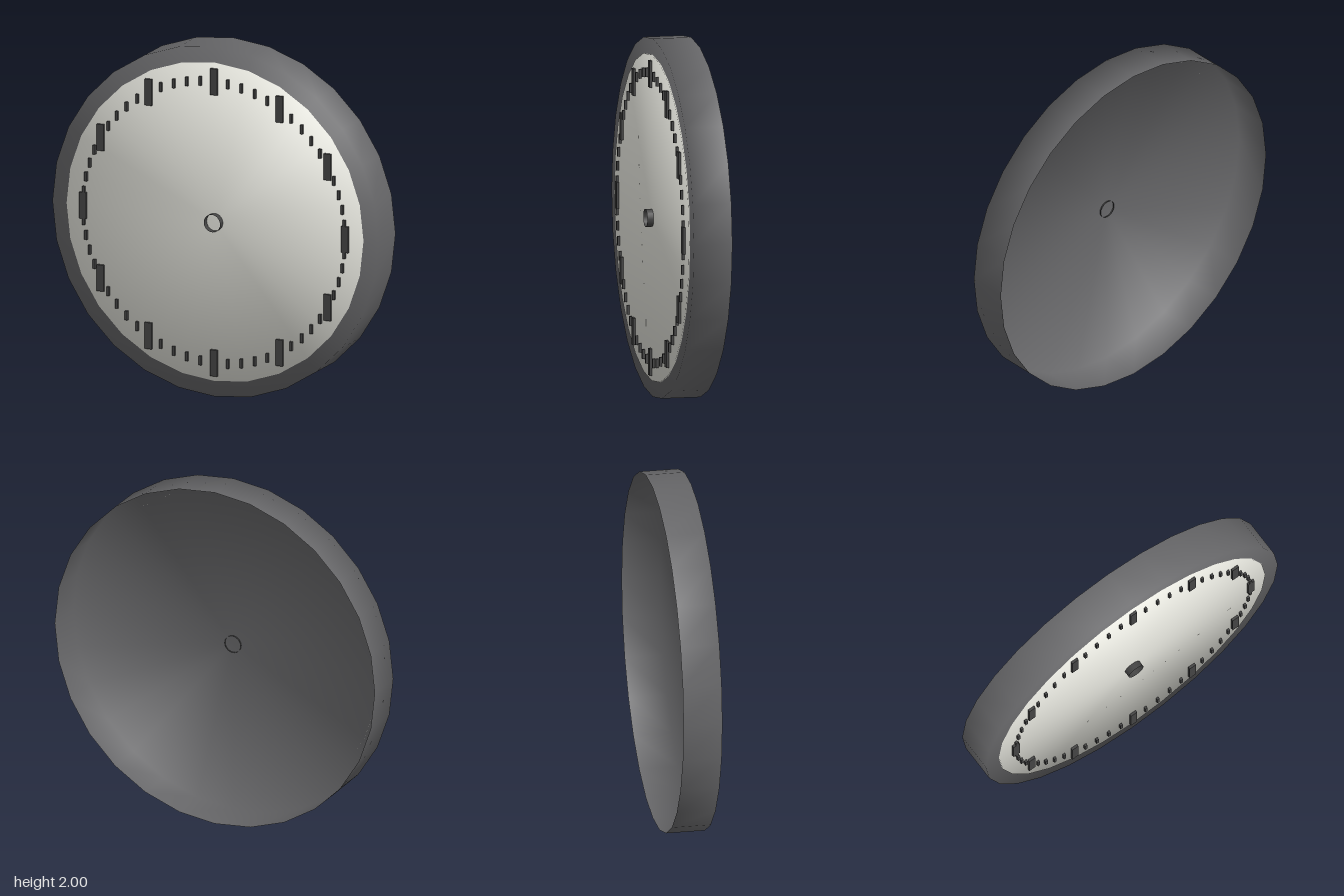
import * as THREE from 'three';

const SIDES = 28;

// Turned shell facing +z, with normals that round off softly toward its front edge
function turnedShell(profile, radius) {
  const geo = new THREE.LatheGeometry(profile.map(([r, z]) => new THREE.Vector2(r, z)), SIDES);
  geo.rotateX(Math.PI / 2);
  const pos = geo.attributes.position;
  const n = new THREE.Vector3();
  for (let i = 0; i < pos.count; i++) {
    n.set(pos.getX(i) / radius, pos.getY(i) / radius, pos.getZ(i) > 0 ? 1 : 0).normalize();
    geo.attributes.normal.setXYZ(i, n.x, n.y, n.z);
  }
  return geo;
}

export function createModel() {
  const caseGrey = new THREE.MeshStandardMaterial({ color: 0x666668, side: THREE.DoubleSide });
  caseGrey.name = 'case grey';
  const dialWhite = new THREE.MeshStandardMaterial({ color: 0xe6e6de });
  dialWhite.name = 'dial white';
  const markDark = new THREE.MeshStandardMaterial({ color: 0x444444, side: THREE.DoubleSide });
  markDark.name = 'mark dark';

  const clock = new THREE.Group();
  clock.name = 'wallClock';
  clock.position.y = 1;

  const add = (name, geo, mat, parent = clock) => {
    const mesh = new THREE.Mesh(geo, mat);
    mesh.name = name;
    parent.add(mesh);
    return mesh;
  };

  // Pan-shaped case, open at the back
  add('case', turnedShell([[1, -0.13], [1, 0.088], [0, 0.088]], 1), caseGrey);

  // Thin dial on the front
  add('dial', turnedShell([[0.91, 0.087], [0.91, 0.094], [0, 0.094]], 0.91), dialWhite);

  // Upright hour and minute marks around the dial
  const marks = new THREE.Group();
  marks.name = 'marks';
  clock.add(marks);
  const hourGeo = new THREE.BoxGeometry(0.042, 0.15, 0.014);
  const minuteGeo = new THREE.BoxGeometry(0.015, 0.052, 0.014);
  for (let i = 0; i < 60; i++) {
    const a = (i / 60) * Math.PI * 2;
    const isHour = i % 5 === 0;
    const mark = add(isHour ? 'hourMark' : 'minuteMark', isHour ? hourGeo : minuteGeo, markDark, marks);
    mark.position.set(Math.sin(a) * 0.804, Math.cos(a) * 0.804, 0.103);
  }

  // Open tube for the centre spindle, just passing through the dial
  const spindle = new THREE.CylinderGeometry(0.05, 0.05, 0.05, 20, 1, true);
  spindle.rotateX(Math.PI / 2);
  add('spindle', spindle, markDark).position.z = 0.105;

  const model = new THREE.Group();
  model.name = 'model';
  model.add(clock);
  return model;
}
